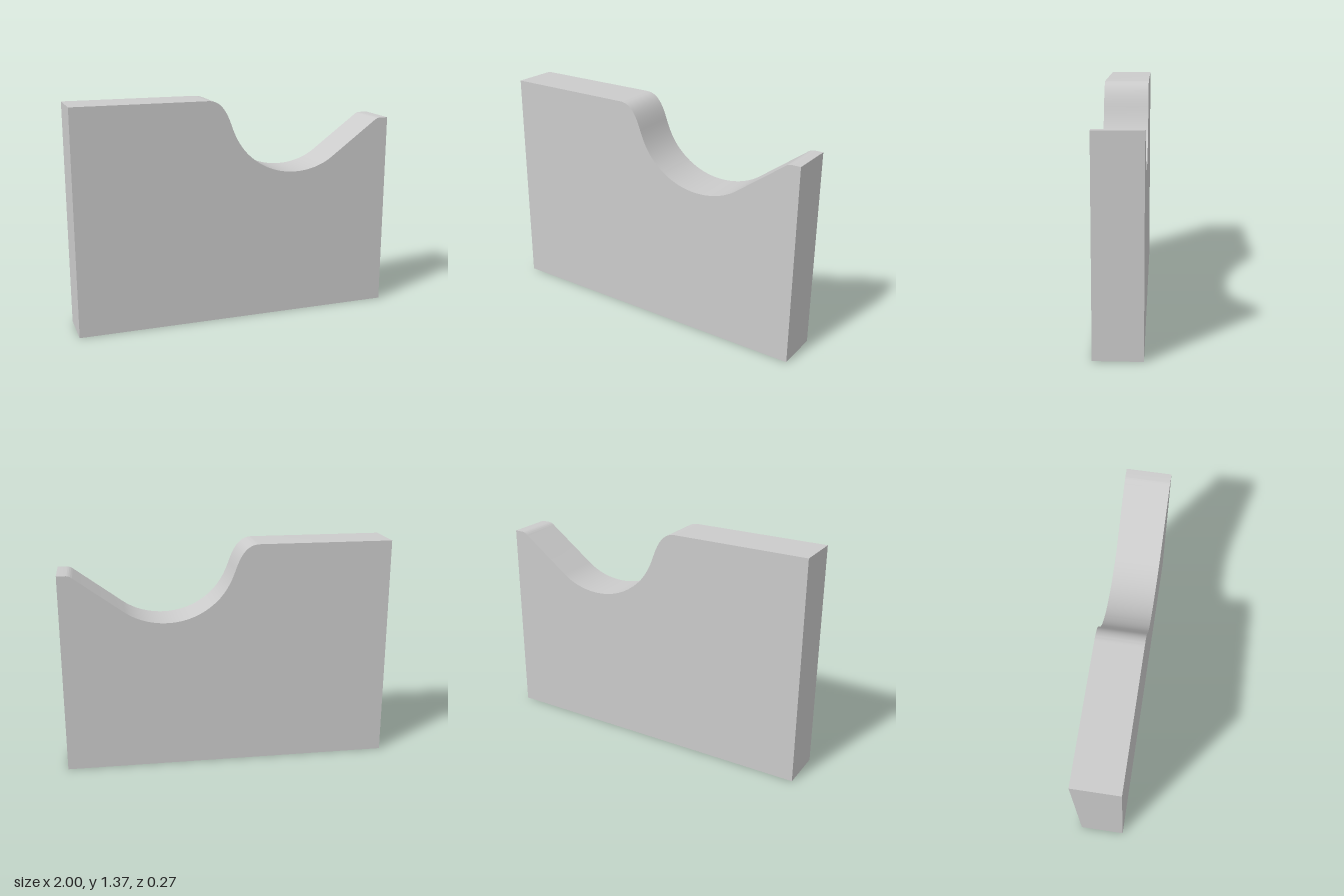
import * as THREE from 'three';
import { toCreasedNormals } from 'three/addons/utils/BufferGeometryUtils.js';

export function createModel() {
  const group = new THREE.Group();
  group.name = 'contouredPanel';
  const depth = 0.274;

  // Side outline: flat shoulder, scooped bowl, straight ramp and small ledge
  const outline = new THREE.Shape();
  outline.moveTo(-1, 0);
  outline.lineTo(1, 0);
  outline.lineTo(1, 1.218);
  outline.lineTo(0.945, 1.218);
  outline.quadraticCurveTo(0.925, 1.217, 0.905, 1.2);
  outline.lineTo(0.62, 0.99);
  outline.bezierCurveTo(0.55, 0.938, 0.46, 0.912, 0.37, 0.912);
  outline.bezierCurveTo(0.28, 0.912, 0.19, 0.94, 0.12, 0.99);
  outline.bezierCurveTo(0.06, 1.033, 0, 1.09, -0.045, 1.22);
  outline.bezierCurveTo(-0.08, 1.32, -0.12, 1.37, -0.19, 1.37);
  outline.lineTo(-1, 1.37);
  outline.closePath();

  // Plate of constant thickness with sharp face edges and a smooth scoop
  const geometry = new THREE.ExtrudeGeometry(outline, {
    depth, bevelEnabled: false, curveSegments: 20,
  });
  geometry.translate(0, 0, -depth / 2);
  const panel = new THREE.Mesh(
    toCreasedNormals(geometry, Math.PI / 6),
    new THREE.MeshStandardMaterial({ color: 0xcccccc }),
  );
  panel.name = 'panel';
  group.add(panel);
  return group;
}
